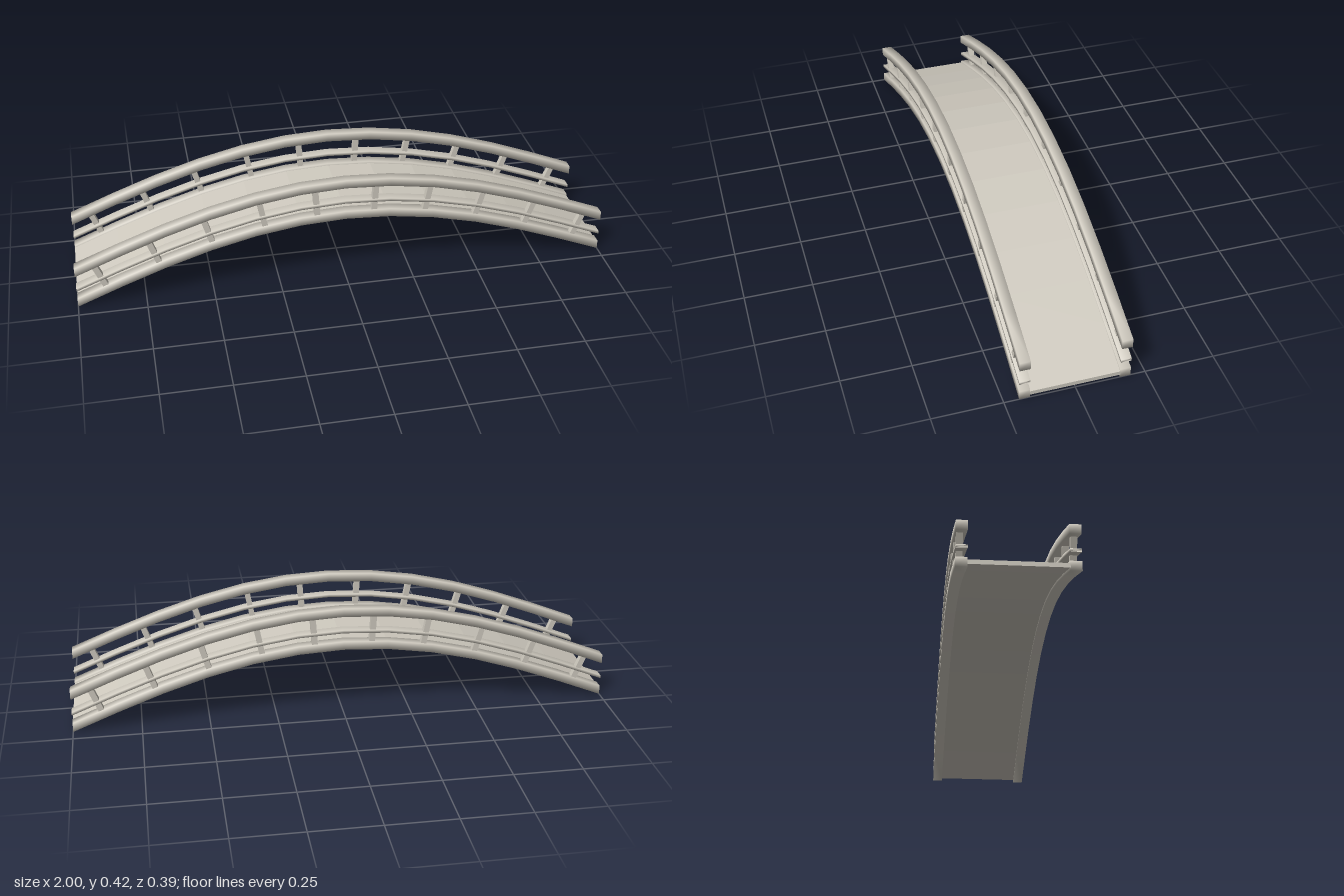
import * as THREE from 'three';
import { mergeVertices } from 'three/addons/utils/BufferGeometryUtils.js';

const stone = new THREE.MeshStandardMaterial({ color: 0xd0cbc0 });
stone.name = 'paleStone';

// Arch: fall from the crown at x, and the steepness there
const drop = (x) => 0.31 * x * x - 0.053 * x ** 4;
const slope = (x) => -(0.62 * x - 0.212 * x ** 3);

// Twelve-segment beam bent along the arch; crown is its centre height at x = 0
function archedBeam(name, crown, height, width, z, smooth) {
  let geo = new THREE.BoxGeometry(2, height, width, 12, 1, 1);
  geo.deleteAttribute('uv');
  geo.deleteAttribute('normal');
  geo = mergeVertices(geo);
  const p = geo.attributes.position;
  for (let i = 0; i < p.count; i++) {
    const x = p.getX(i);
    p.setY(i, crown - drop(x) + p.getY(i) * Math.hypot(1, slope(x)));
  }
  if (!smooth) geo = geo.toNonIndexed();
  geo.computeVertexNormals();
  const mesh = new THREE.Mesh(geo, stone);
  mesh.name = name;
  mesh.position.z = z;
  return mesh;
}

export function createModel() {
  const bridge = new THREE.Group();
  bridge.name = 'archedFootbridge';

  // Faceted walkway
  bridge.add(archedBeam('deck', 0.2755, 0.0145, 0.32, 0, false));

  for (const side of [-1, 1]) {
    const railing = new THREE.Group();
    railing.name = side > 0 ? 'frontRailing' : 'backRailing';

    // Softly shaded rails
    const z = side * 0.178;
    railing.add(archedBeam('bottomRail', 0.2745, 0.032, 0.038, z, true));
    railing.add(archedBeam('middleRail', 0.33, 0.011, 0.038, z, true));
    railing.add(archedBeam('topRail', 0.4055, 0.032, 0.038, z, true));

    // Square posts standing at right angles to the arch
    for (let i = 0; i < 10; i++) {
      const x = (i - 4.5) * 0.2 + Math.sign(i - 4.5) * 0.01;
      const lean = Math.atan(slope(x));
      const post = new THREE.Mesh(new THREE.BoxGeometry(0.021, 0.131 * Math.cos(lean), 0.022), stone);
      post.name = 'post';
      post.position.set(x, 0.34 - drop(x), side * 0.182);
      post.rotation.z = lean;
      railing.add(post);
    }
    bridge.add(railing);
  }
  return bridge;
}
